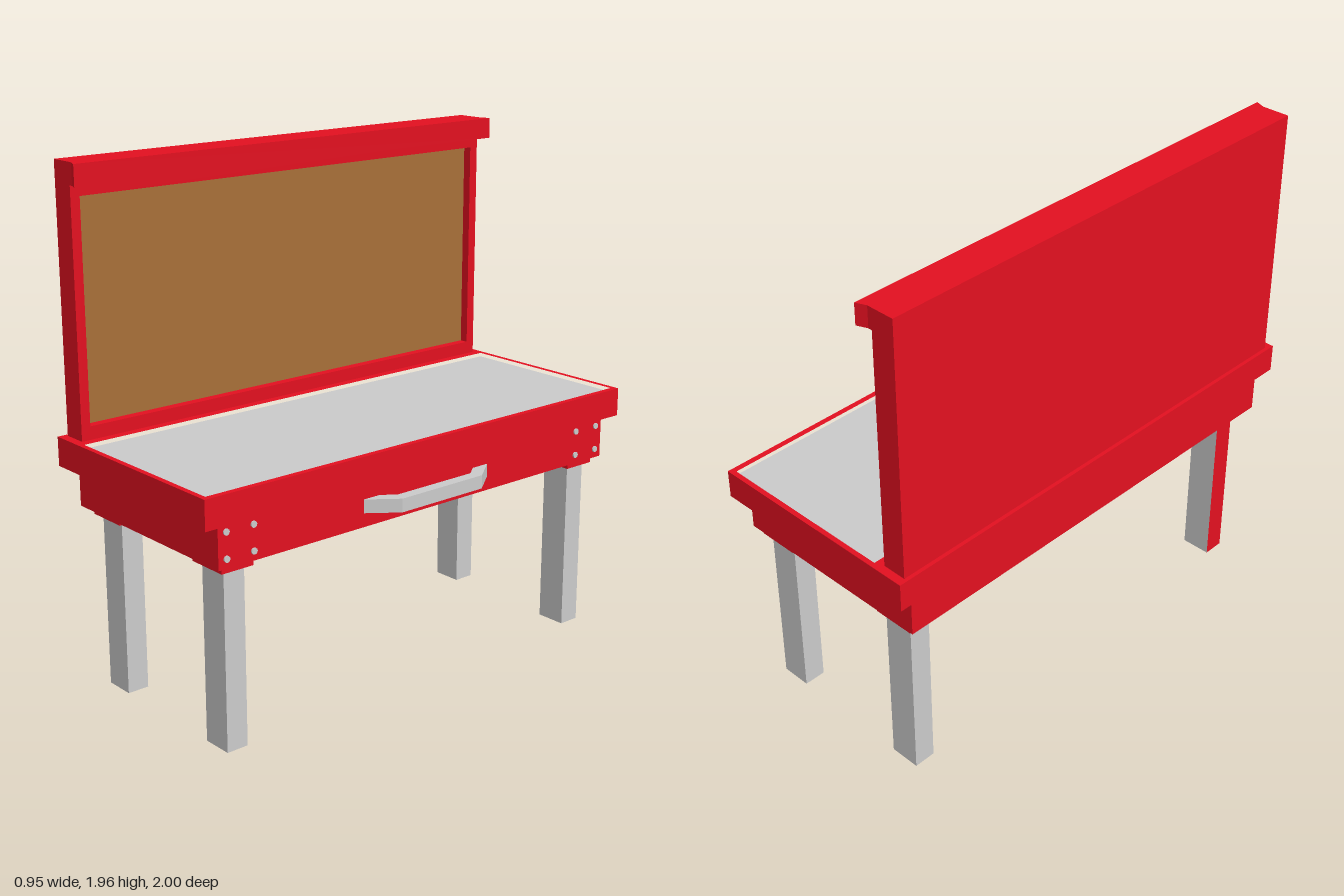
import * as THREE from 'three';

const steel = new THREE.MeshStandardMaterial({ color: 0xcccccc });
const red = new THREE.MeshStandardMaterial({ color: 0xe41020 });
const wood = new THREE.MeshStandardMaterial({ color: 0xa97038 });

export function createModel() {
  const model = new THREE.Group();
  model.name = 'workbench';

  const add = (name, geometry, material) => {
    const mesh = new THREE.Mesh(geometry, material);
    mesh.name = name;
    model.add(mesh);
    return mesh;
  };

  // Box given by its limits on each axis
  const box = (name, [x0, x1], [y0, y1], [z0, z1], material) => {
    const mesh = add(name, new THREE.BoxGeometry(x1 - x0, y1 - y0, z1 - z0), material);
    mesh.position.set((x0 + x1) / 2, (y0 + y1) / 2, (z0 + z1) / 2);
    return mesh;
  };

  // Horizontal slab from an outline of [x, z] points
  const shapeOf = (pts) => new THREE.Shape(pts.map(([x, z]) => new THREE.Vector2(x, -z)));
  const slab = (shape, y0, y1) =>
    new THREE.ExtrudeGeometry(shape, { depth: y1 - y0, bevelEnabled: false })
      .rotateX(-Math.PI / 2).translate(0, y0, 0);
  const rect = (a0, a1, b0, b1) => [[a0, b0], [a1, b0], [a1, b1], [a0, b1]];

  // Table top: raised rim around a slightly sunken steel surface
  const rim = shapeOf(rect(-0.475, 0.415, -1, 1));
  rim.holes.push(shapeOf(rect(-0.33, 0.392, -0.98, 0.98)));
  add('topRim', slab(rim, 0.86, 0.97), red);
  box('workSurface', [-0.33, 0.392], [0.865, 0.955], [-0.98, 0.98], steel);

  // Drawer body below the top
  box('drawerBody', [-0.45, 0.39], [0.70, 0.86], [-0.933, 0.933], red);

  // Legs with mounting plates; the legs at the +z end have a red rear face
  for (const z of [0.833, -0.847]) {
    for (const x of [-0.332, 0.278]) {
      box('legPlate', [x - 0.082, x + 0.082], [0.67, 0.70], [z - 0.066, z + 0.066], red);
      const materials = [steel, z > 0 ? red : steel, steel, steel, steel, steel];
      box('leg', [x - 0.06, x + 0.06], [0, 0.67], [z - 0.043, z + 0.043], materials);
    }
  }

  // Back panel: frame with a recessed wooden board
  const frame = new THREE.Shape(rect(-0.967, 0.967, 0.97, 1.88).map((p) => new THREE.Vector2(...p)));
  frame.holes.push(new THREE.Path(rect(-0.93, 0.93, 1.02, 1.84).map((p) => new THREE.Vector2(...p))));
  add('panelFrame', new THREE.ExtrudeGeometry(frame, { depth: 0.095, bevelEnabled: false })
    .rotateY(Math.PI / 2).translate(-0.46, 0, 0), red);
  box('panelBack', [-0.46, -0.42], [1.02, 1.84], [-0.93, 0.93], red);
  box('panelBoard', [-0.42, -0.4], [1.02, 1.84], [-0.93, 0.93], wood);

  // Overhanging cap, a little wider at its front
  add('panelCap', slab(shapeOf([
    [-0.46, 0.967], [-0.35, 0.967], [-0.31, 0.983],
    [-0.31, -0.983], [-0.35, -0.967], [-0.46, -0.967],
  ]), 1.88, 1.96), red);

  // Drawer handle with slanted ends
  add('handle', slab(shapeOf([
    [0.385, 0.31], [0.472, 0.195], [0.472, -0.195], [0.385, -0.31],
    [0.385, -0.235], [0.428, -0.18], [0.428, 0.18], [0.385, 0.235],
  ]), 0.752, 0.803), steel);

  // Bolts at the corners of the drawer front
  const bolt = new THREE.CylinderGeometry(0.012, 0.012, 0.012, 12).rotateZ(-Math.PI / 2);
  for (const z of [-0.9, -0.787, 0.787, 0.9])
    for (const y of [0.735, 0.83]) add('bolt', bolt, steel).position.set(0.39, y, z);

  return model;
}
